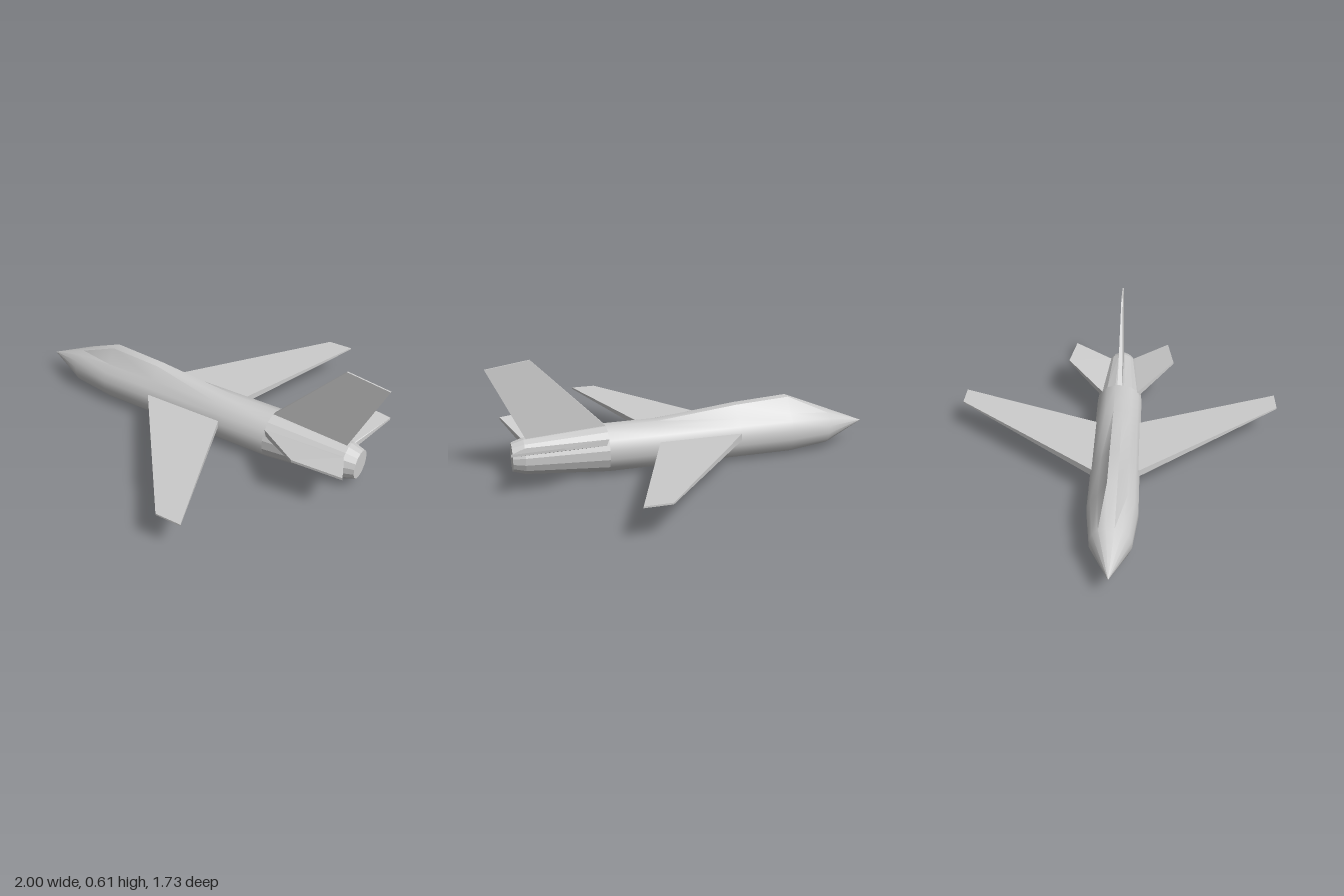
import * as THREE from 'three';
import { toCreasedNormals } from 'three/addons/utils/BufferGeometryUtils.js';
import { ConvexGeometry } from 'three/addons/geometries/ConvexGeometry.js';

const SIDES = 16;
const AXIS = 0.127; // height of the body axis

// One cross-section: a 16-gon whose top pair of points is raised to form the spine
function ring([x, r, top]) {
  const pts = [];
  for (let i = 0; i < SIDES; i++) {
    const a = ((i + 0.5) / SIDES) * Math.PI * 2;
    const isTop = i === 3 || i === 4;
    const z = r * Math.cos(a);
    const y = isTop && top !== undefined ? top : AXIS + r * Math.sin(a);
    pts.push([x, y, z]);
  }
  return pts;
}

// Skin a list of [x, radius, top height] stations, optionally closing the aft end
function loft(stations, closeAft) {
  const rings = stations.map(ring);
  const pos = [];
  const tri = (a, b, c) => pos.push(...a, ...b, ...c);
  for (let s = 0; s < rings.length - 1; s++) {
    for (let i = 0; i < SIDES; i++) {
      const j = (i + 1) % SIDES;
      const [a, b] = [rings[s], rings[s + 1]];
      if (stations[s][1] > 0) tri(a[i], b[i], a[j]);
      tri(a[j], b[i], b[j]);
    }
  }
  if (closeAft) {
    const last = rings[rings.length - 1];
    const centre = [stations[stations.length - 1][0], AXIS, 0];
    for (let i = 0; i < SIDES; i++) tri(centre, last[(i + 1) % SIDES], last[i]);
  }
  const g = new THREE.BufferGeometry();
  g.setAttribute('position', new THREE.Float32BufferAttribute(pos, 3));
  g.computeVertexNormals();
  return g;
}

// Tapered flying surface: corners [x, y, z, halfThickness], thickened along one axis
function surface(corners, axis, side = 1) {
  const pts = [];
  for (const [x, y, z, t] of corners) {
    for (const s of [-t, t]) {
      const p = new THREE.Vector3(x, y, z * side);
      p[axis] += s;
      pts.push(p);
    }
  }
  return new ConvexGeometry(pts);
}

export function createModel() {
  const group = new THREE.Group();
  const smooth = new THREE.MeshStandardMaterial({ color: 0xcccccc });
  const flat = new THREE.MeshStandardMaterial({ color: 0xcccccc, flatShading: true });
  const add = (name, geometry, material) => {
    const mesh = new THREE.Mesh(geometry, material);
    mesh.name = name;
    group.add(mesh);
  };

  // Nose, canopy hump and main body
  const body = loft([
    [-1, 0, AXIS],
    [-0.77, 0.1, 0.22],
    [-0.55, 0.125, 0.31],
    [-0.26, 0.125, 0.293],
    [0.16, 0.125, 0.248],
    [0.43, 0.125, 0.246],
  ], false);
  add('fuselage', toCreasedNormals(body, 0.6), smooth);

  // Faceted tail cone and exhaust face
  add('tailCone', loft([
    [0.43, 0.125, 0.246],
    [0.84, 0.092],
    [0.9, 0.073],
  ], true), flat);

  // Swept wings and raised tailplanes, mirrored across the body
  for (const [label, side] of [['left', -1], ['right', 1]].map(([l, s]) => [l, -s])) {
    const s = -side;
    add(label + 'Wing', surface([
      [-0.26, 0.147, 0.08, 0.018],
      [-0.26, 0.148, 0.12, 0.018],
      [0.32, 0.183, 0.865, 0.004],
      [0.45, 0.183, 0.865, 0.004],
      [0.16, 0.148, 0.12, 0.018],
      [0.16, 0.147, 0.08, 0.018],
    ], 'y', s), flat);
    add(label + 'Tailplane', surface([
      [0.43, 0.172, 0.06, 0.016],
      [0.43, 0.188, 0.1, 0.016],
      [0.68, 0.255, 0.303, 0.006],
      [0.925, 0.239, 0.275, 0.006],
      [0.84, 0.178, 0.078, 0.016],
      [0.83, 0.166, 0.04, 0.016],
    ], 'y', s), flat);
  }

  // Swept vertical fin
  add('fin', surface([
    [0.42, 0.235, 0, 0.013],
    [0.785, 0.612, 0, 0.004],
    [1, 0.58, 0, 0.004],
    [0.82, 0.2, 0, 0.013],
  ], 'z'), flat);

  return group;
}
